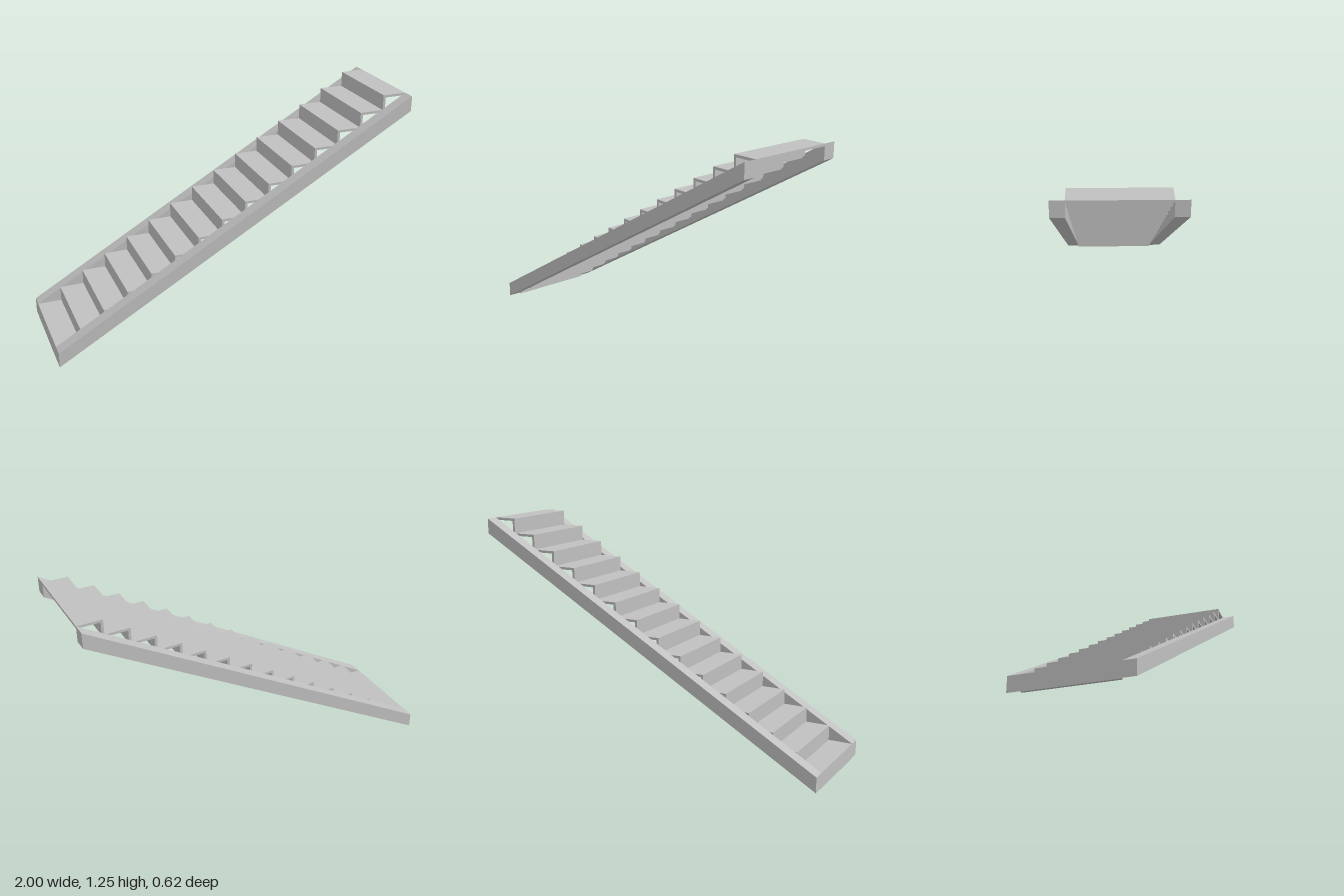
import * as THREE from 'three';

const STEPS = 15;
const RUN = 2 / STEPS;
const RISE = 1 / 12;
const LIFT = 0.0025;       // small offset of the flight above the floor
const THICK = 0.0135;      // tread and riser board thickness
const INNER = 0.24, OUTER = 0.31;

export function createModel() {
  const group = new THREE.Group();
  group.name = 'staircase';
  const grey = new THREE.MeshStandardMaterial({ color: 0xc0c0c0 });
  grey.name = 'light grey';

  // Box given by its extents in x and y, spanning between the stringers
  const board = (name, x0, x1, y0, y1) => {
    const mesh = new THREE.Mesh(new THREE.BoxGeometry(x1 - x0, y1 - y0, INNER * 2), grey);
    mesh.position.set((x0 + x1) / 2, (y0 + y1) / 2, 0);
    mesh.name = name;
    group.add(mesh);
  };

  // Each step: a thin tread with a riser under its front edge
  for (let i = 0; i < STEPS; i++) {
    const x = -1 + i * RUN;
    const top = (i + 1) * RISE + LIFT;
    const bottom = i === 0 ? 0 : i * RISE + LIFT;
    board(`riser${i + 1}`, x, x + THICK, bottom, top - THICK);
    board(`tread${i + 1}`, x, x + RUN, top - THICK, top);
  }

  // Sloping side beams with plumb-cut ends
  const high = STEPS * RISE + LIFT;
  const profile = new THREE.Shape([
    new THREE.Vector2(-1, LIFT),
    new THREE.Vector2(1, high - RISE),
    new THREE.Vector2(1, high),
    new THREE.Vector2(-1, RISE + LIFT),
  ]);
  const beam = new THREE.ExtrudeGeometry(profile, { depth: OUTER - INNER, bevelEnabled: false });
  for (const [name, z] of [['frontStringer', INNER], ['backStringer', -OUTER]]) {
    const mesh = new THREE.Mesh(beam, grey);
    mesh.position.z = z;
    mesh.name = name;
    group.add(mesh);
  }
  return group;
}
